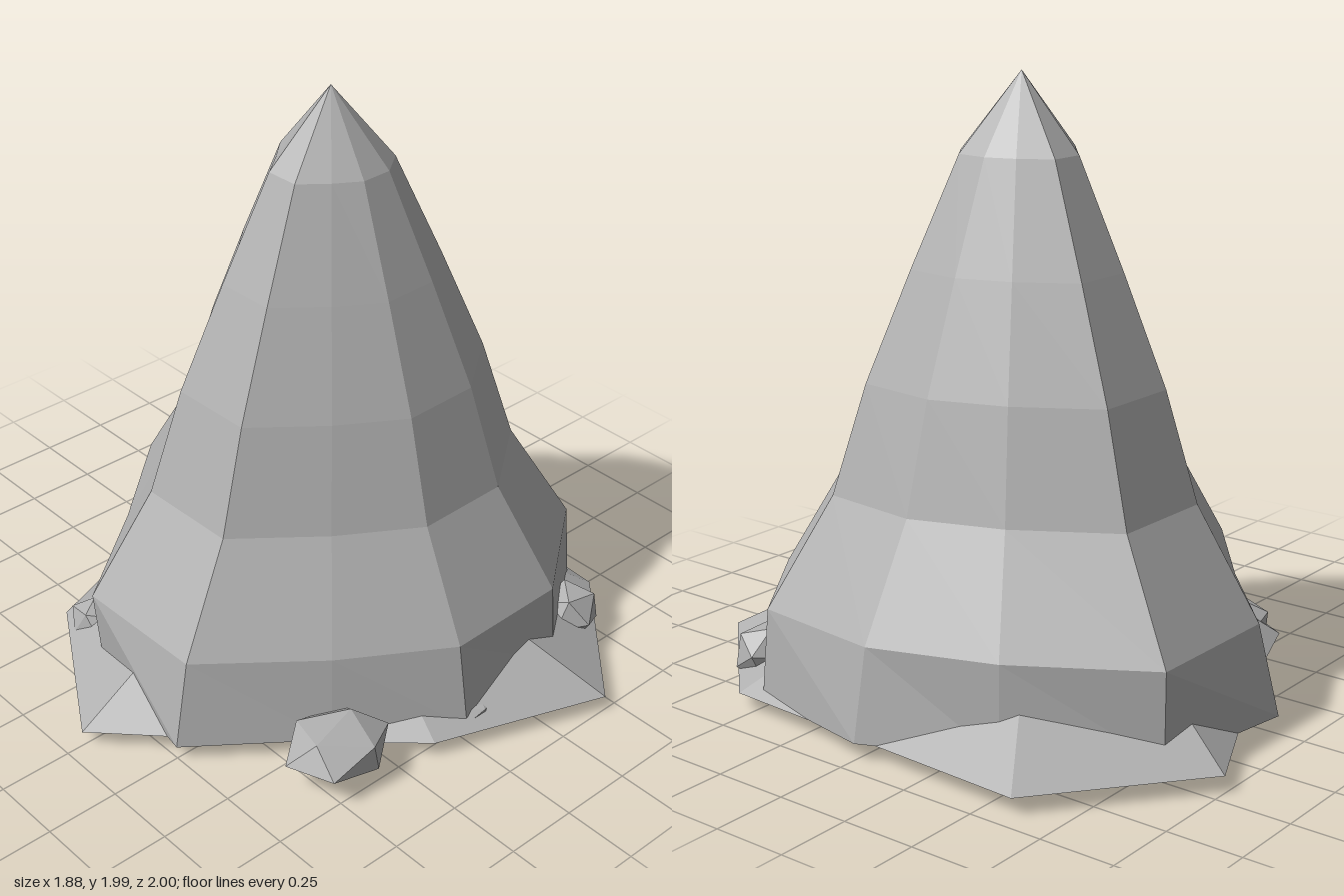
import * as THREE from 'three';

const SIDES = 11;
const GROUND = 0.06;

// Faceted shell through rings of points, closed by a tip above and a flat cap below
function facetedShell(rings, tip) {
  const pos = [];
  const tri = (...pts) => pts.forEach((p) => pos.push(p.x, p.y, p.z));
  const n = rings[0].length;
  const centre = new THREE.Vector3();
  rings[0].forEach((p) => centre.addScaledVector(p, 1 / n));
  for (let i = 0; i < n; i++) {
    const j = (i + 1) % n;
    tri(centre, rings[0][i], rings[0][j]);
    for (let k = 0; k < rings.length - 1; k++) {
      const lo = rings[k], hi = rings[k + 1];
      tri(lo[i], hi[i], hi[j]);
      tri(lo[i], hi[j], lo[j]);
    }
    const top = rings[rings.length - 1];
    tri(top[i], tip, top[j]);
  }
  const geo = new THREE.BufferGeometry();
  geo.setAttribute('position', new THREE.Float32BufferAttribute(pos, 3));
  geo.computeVertexNormals();
  return geo;
}

export function createModel() {
  const model = new THREE.Group();
  model.name = 'rockSpire';
  const stone = new THREE.MeshStandardMaterial({ color: 0xb0b0b0 });
  stone.name = 'grey stone';

  const add = (name, geo) => {
    const mesh = new THREE.Mesh(geo, stone);
    mesh.name = name;
    model.add(mesh);
    return mesh;
  };

  // Spire: an uneven eleven-sided outline shrinking towards the tip
  const outline = [0.82, 0.91, 0.87, 0.81, 0.75, 0.91, 0.92, 0.75, 0.90, 0.97, 0.80];
  const foot = [0.82, 0.87, 0.83, 0.81, 0.74, 0.915, 0.83, 0.71, 0.91, 0.90, 0.76];
  const levels = [[0.35, 0.93], [0.7, 0.69], [1.05, 0.565], [1.4, 0.4], [1.75, 0.225]];
  const ring = (radii, y, scale) => radii.map((r, i) => {
    const a = (i / SIDES) * Math.PI * 2;
    return new THREE.Vector3(0.12 + Math.cos(a) * r * scale, y, Math.sin(a) * r * scale);
  });
  const rings = [ring(foot, GROUND, 1), ...levels.map(([y, s]) => ring(outline, y, s))];
  add('spire', facetedShell(rings, new THREE.Vector3(0.12, 2, 0)));

  // Skirt: a low jagged cone of scree around the foot
  const skirt = [
    [0.91, 0], [0.88, 0.55], [0.45, 1], [-0.13, 0.79], [-0.54, 0.41],
    [-0.94, 0], [-0.61, -0.54], [-0.21, -0.69], [0.45, -1], [0.94, -0.6],
  ].map(([x, z]) => new THREE.Vector3(x, GROUND, z));
  add('screeSkirt', facetedShell([skirt], new THREE.Vector3(0.02, 0.64, 0)));

  // Loose boulders: position, half sizes, turn, tilt
  const boulders = [
    [[-0.41, 0.118, 0.635], [0.19, 0.095, 0.16], 0.3, 0.1],
    [[0.66, 0.108, 0.645], [0.112, 0.105, 0.105], 0.9, 0.2],
    [[-0.585, 0.085, -0.41], [0.075, 0.085, 0.1], 0.4, 0.2],
    [[-0.67, 0.07, 0.13], [0.075, 0.065, 0.09], 1.2, 0],
    [[0.06, 0.07, 0.74], [0.13, 0.06, 0.09], 0.2, 0.15],
    [[-0.03, 0.075, -0.74], [0.1, 0.07, 0.1], 0.7, 0.1],
  ];
  boulders.forEach(([p, s, turn, tilt], i) => {
    const geo = new THREE.IcosahedronGeometry(1, 0);
    geo.rotateY(turn).rotateZ(tilt).scale(...s);
    geo.computeVertexNormals();
    add(`boulder${i + 1}`, geo).position.set(...p);
  });

  return model;
}
